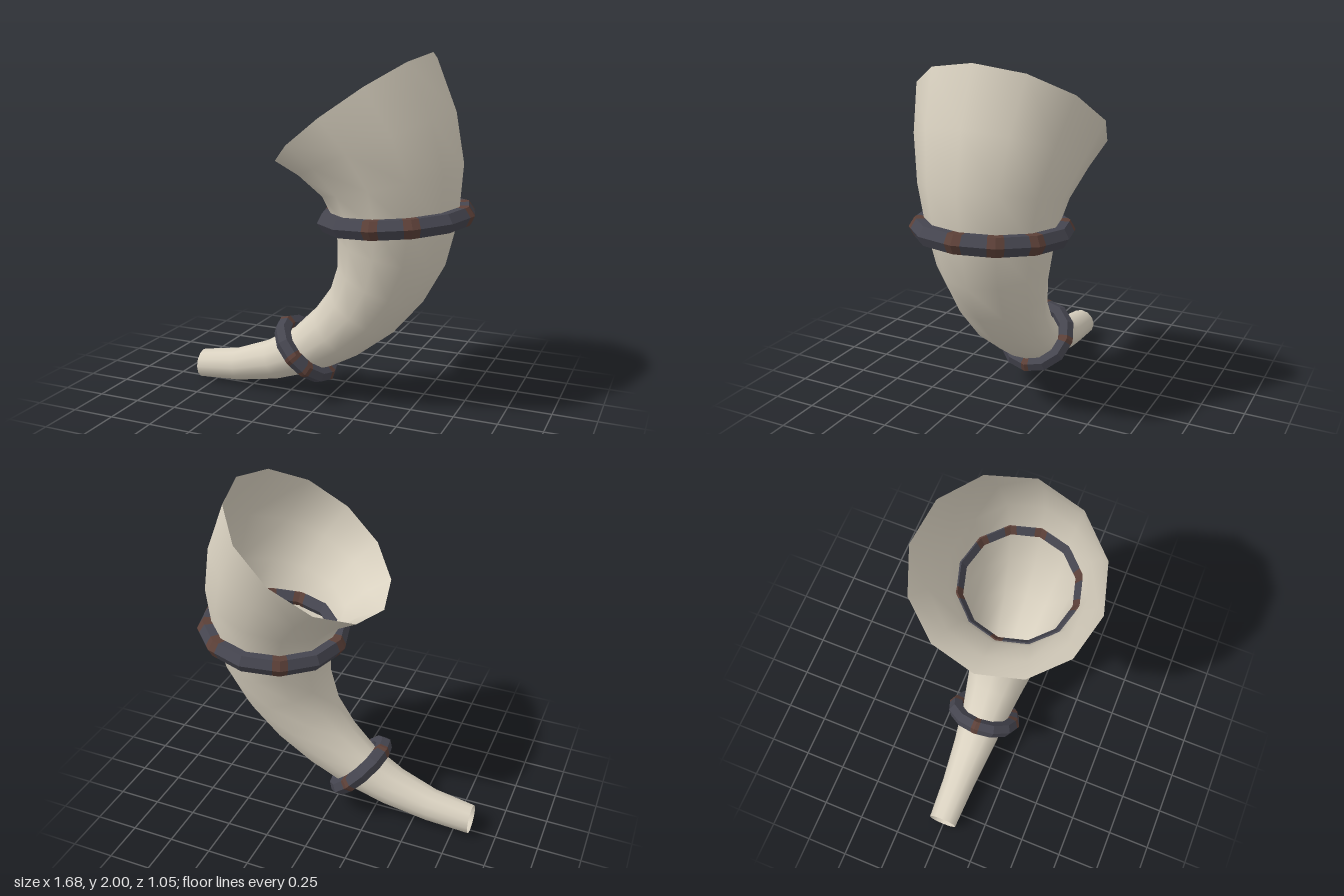
import * as THREE from 'three';

const SIDES = 12;

// Horn stations: [inner curve x, y, outer curve x, y]
const STATIONS = [
  [-0.845, 0.175, -0.845, 0.003],
  [-0.61, 0.215, -0.58, 0.02],
  [-0.40, 0.295, -0.31, 0.07],
  [-0.22, 0.40, -0.06, 0.155],
  [-0.08, 0.54, 0.17, 0.28],
  [0.02, 0.68, 0.39, 0.45],
  [0.07, 0.84, 0.56, 0.65],
  [0.072, 1.0, 0.68, 0.87],
  [0.045, 1.12, 0.745, 1.13],
  [-0.01, 1.22, 0.765, 1.41],
  [-0.14, 1.32, 0.71, 1.70],
  [-0.265, 1.38, 0.585, 2.0],
];

// Open curved shell lofted through round sections
function hornGeometry() {
  const pos = [], index = [];
  for (const [ix, iy, ox, oy] of STATIONS) {
    const ex = (ox - ix) / 2, ey = (oy - iy) / 2, r = Math.hypot(ex, ey);
    for (let j = 0; j < SIDES; j++) {
      const a = (j / SIDES) * Math.PI * 2, c = Math.cos(a);
      pos.push((ix + ox) / 2 + ex * c, (iy + oy) / 2 + ey * c, r * Math.sin(a));
    }
  }
  for (let i = 0; i < STATIONS.length - 1; i++) {
    for (let j = 0; j < SIDES; j++) {
      const k = (j + 1) % SIDES;
      const a = i * SIDES + j, b = a + SIDES, c = (i + 1) * SIDES + k, d = i * SIDES + k;
      index.push(a, b, c, a, c, d);
    }
  }
  const geo = new THREE.BufferGeometry();
  geo.setAttribute('position', new THREE.Float32BufferAttribute(pos, 3));
  geo.setIndex(index);
  geo.computeVertexNormals();
  return geo;
}

// Faceted band with a hexagonal section; sides next to the listed corners are rusty
function bandGeometry(R, t, rustyCorners) {
  const corner = (j, b) => {
    const a = (j / SIDES) * Math.PI * 2, s = (b / 6) * Math.PI * 2;
    const r = R + t * Math.cos(s);
    return new THREE.Vector3(r * Math.cos(a), t * Math.sin(s), r * Math.sin(a));
  };
  const faces = [[], []]; // iron, rust
  const cuts = [0, 0.2, 0.8, 1];
  for (let j = 0; j < SIDES; j++) {
    for (let b = 0; b < 6; b++) {
      const at = (f, k) => corner(j, k).lerp(corner(j + 1, k), f);
      for (let s = 0; s < 3; s++) {
        const near = s === 0 ? j : s === 2 ? (j + 1) % SIDES : -1;
        const list = faces[rustyCorners.includes(near) ? 1 : 0];
        const p = at(cuts[s], b), q = at(cuts[s], b + 1);
        const u = at(cuts[s + 1], b + 1), v = at(cuts[s + 1], b);
        list.push(p, q, u, p, u, v);
      }
    }
  }
  const geo = new THREE.BufferGeometry().setFromPoints([...faces[0], ...faces[1]]);
  geo.addGroup(0, faces[0].length, 0);
  geo.addGroup(faces[0].length, faces[1].length, 1);
  geo.computeVertexNormals();
  return geo;
}

export function createModel() {
  const bone = new THREE.MeshStandardMaterial({ name: 'bone', color: 0xd9d1c0, side: THREE.DoubleSide });
  const iron = new THREE.MeshStandardMaterial({ name: 'darkIron', color: 0x464650 });
  const rust = new THREE.MeshStandardMaterial({ name: 'rust', color: 0x5c4038 });

  const group = new THREE.Group();
  group.name = 'horn';

  const shell = new THREE.Mesh(hornGeometry(), bone);
  shell.name = 'hornShell';
  group.add(shell);

  // Metal bands around the horn
  const addBand = (name, x, y, tilt, R, t, rusty) => {
    const band = new THREE.Mesh(bandGeometry(R, t, rusty), [iron, rust]);
    band.name = name;
    band.position.set(x, y, 0);
    band.rotation.z = tilt;
    group.add(band);
  };
  addBand('upperBand', 0.397, 1.117, 0.08, 0.38, 0.058, [0, 2, 3, 6, 8, 10, 11]);
  addBand('lowerBand', -0.145, 0.282, -0.8, 0.186, 0.049, [0, 2, 3, 6, 9]);

  return group;
}
